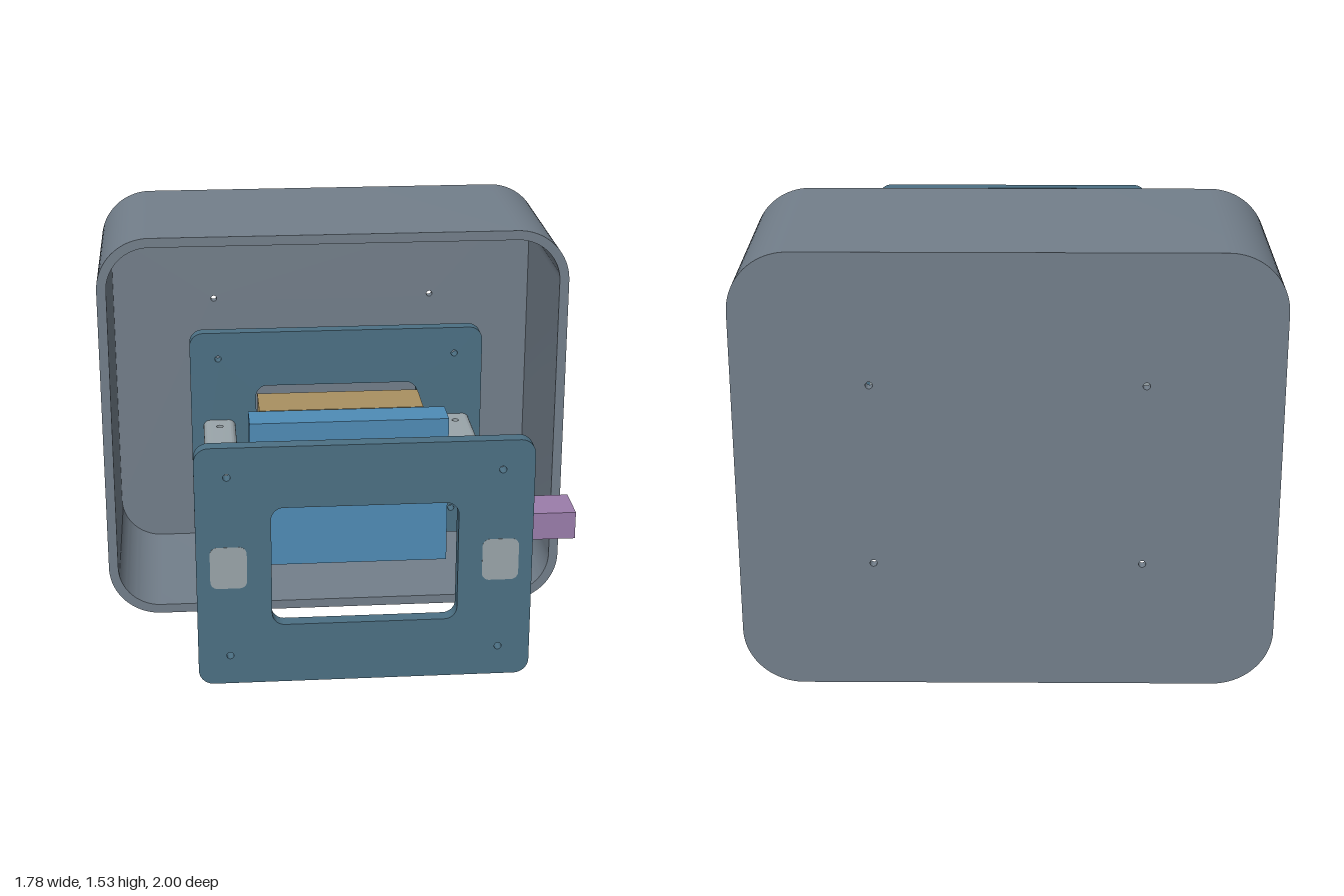
import * as THREE from 'three';
import { toCreasedNormals, mergeGeometries } from 'three/addons/utils/BufferGeometryUtils.js';

const CY = 0.767; // height of the shared centre axis
const MOUNT_HOLES = [[-0.445, 1.083], [0.445, 1.083], [-0.445, 0.45], [0.445, 0.45]];

const material = (color) => new THREE.MeshStandardMaterial({ color });
const shellMat = material(0x737f8b);
const plateMat = material(0x4c7084);
const railMat = material(0x9aa5aa);
const displayMat = material(0x4f8cb6);
const batteryMat = material(0xa99161);
const sensorMat = material(0x9b7dab);

// Rounded rectangle from its limits
function roundRect(x0, x1, y0, y1, r, Type = THREE.Shape) {
  const s = new Type();
  s.moveTo(x0 + r, y0);
  s.lineTo(x1 - r, y0);
  s.absarc(x1 - r, y0 + r, r, -Math.PI / 2, 0);
  s.lineTo(x1, y1 - r);
  s.absarc(x1 - r, y1 - r, r, 0, Math.PI / 2);
  s.lineTo(x0 + r, y1);
  s.absarc(x0 + r, y1 - r, r, Math.PI / 2, Math.PI);
  s.lineTo(x0, y0 + r);
  s.absarc(x0 + r, y0 + r, r, Math.PI, Math.PI * 1.5);
  return s;
}

function hole(x, y, r) {
  const p = new THREE.Path();
  p.absarc(x, y, r, 0, Math.PI * 2, true);
  return p;
}

function extrude(shape, depth, curveSegments = 12) {
  return new THREE.ExtrudeGeometry(shape, { depth, bevelEnabled: false, curveSegments });
}

function addMesh(parent, name, geometry, mat) {
  const mesh = new THREE.Mesh(toCreasedNormals(geometry, 0.5), mat);
  mesh.name = name;
  parent.add(mesh);
  return mesh;
}

function addBlock(parent, name, mat, x0, x1, y0, y1, z0, z1) {
  const g = new THREE.BoxGeometry(x1 - x0, y1 - y0, z1 - z0);
  g.translate((x0 + x1) / 2, (y0 + y1) / 2, (z0 + z1) / 2);
  return addMesh(parent, name, g, mat);
}

// Open-fronted housing: a wall ring and a drilled back panel
function addHousing(parent) {
  const group = new THREE.Group();
  group.name = 'housing';
  const back = -1, front = -0.27, wall = 0.036;
  const ring = roundRect(-0.89, 0.89, 0, 1.53, 0.2);
  ring.holes.push(roundRect(-0.89 + wall, 0.89 - wall, wall, 1.53 - wall, 0.2 - wall, THREE.Path));
  addMesh(group, 'housingWall', extrude(ring, front - back), shellMat).position.z = back;

  const inset = wall - 0.001;
  const panel = roundRect(-0.89 + inset, 0.89 - inset, inset, 1.53 - inset, 0.2 - inset);
  for (const [x, y] of MOUNT_HOLES) panel.holes.push(hole(x, y, 0.012));
  addMesh(group, 'housingBack', extrude(panel, wall), shellMat).position.z = back;
  parent.add(group);
}

// Frame plate with a window and four screw holes
function addPlate(parent, name, z) {
  const s = roundRect(-0.55, 0.55, 0.348, 1.184, 0.05);
  s.holes.push(roundRect(-0.305, 0.305, 0.557, 0.973, 0.042, THREE.Path));
  for (const [x, y] of MOUNT_HOLES) s.holes.push(hole(x, y, 0.012));
  addMesh(parent, name, extrude(s, 0.05), plateMat).position.z = z;
}

// Rail: a drilled core between two rounded flanks
function railGeometry(z0, z1) {
  const hw = 0.06, hh = 0.073, r = 0.025, core = hw - r;
  const plan = new THREE.Shape([
    new THREE.Vector2(-core, -z1), new THREE.Vector2(core, -z1),
    new THREE.Vector2(core, -z0), new THREE.Vector2(-core, -z0),
  ]);
  for (const z of [-0.115, 0.395, 0.91]) plan.holes.push(hole(0, -z, 0.013));
  const parts = [extrude(plan, hh * 2).rotateX(-Math.PI / 2).translate(0, -hh, 0)];

  const flank = new THREE.Shape();
  flank.moveTo(core, -hh);
  flank.absarc(core, -hh + r, r, -Math.PI / 2, 0);
  flank.absarc(core, hh - r, r, 0, Math.PI / 2);
  flank.lineTo(core, -hh);
  const side = extrude(flank, z1 - z0, 8).translate(0, 0, z0);
  const other = side.clone().rotateY(Math.PI).translate(0, 0, z0 + z1);
  parts.push(side, other);
  return mergeGeometries(parts);
}

export function createModel() {
  const model = new THREE.Group();
  model.name = 'enclosureAssembly';

  addHousing(model);
  addPlate(model, 'frontPlate', 0.95);
  addPlate(model, 'rearPlate', -0.235);

  // Rails run through both plates, a hair proud of their faces
  for (const [name, x] of [['leftRail', 0.445], ['rightRail', -0.445]]) {
    addMesh(model, name, railGeometry(-0.236, 1.001), railMat).position.set(x, CY, 0);
  }

  // Loose components
  addBlock(model, 'displayBlock', displayMat, -0.35, 0.35, 0.497, 1.037, 0.27, 0.395);
  addBlock(model, 'batteryBlock', batteryMat, -0.302, 0.302, 0.577, 0.957, -0.142, 0.048);
  addBlock(model, 'sensorBlock', sensorMat, 0.585, 0.743, 0.718, 0.814, 0.585, 0.743);

  return model;
}
